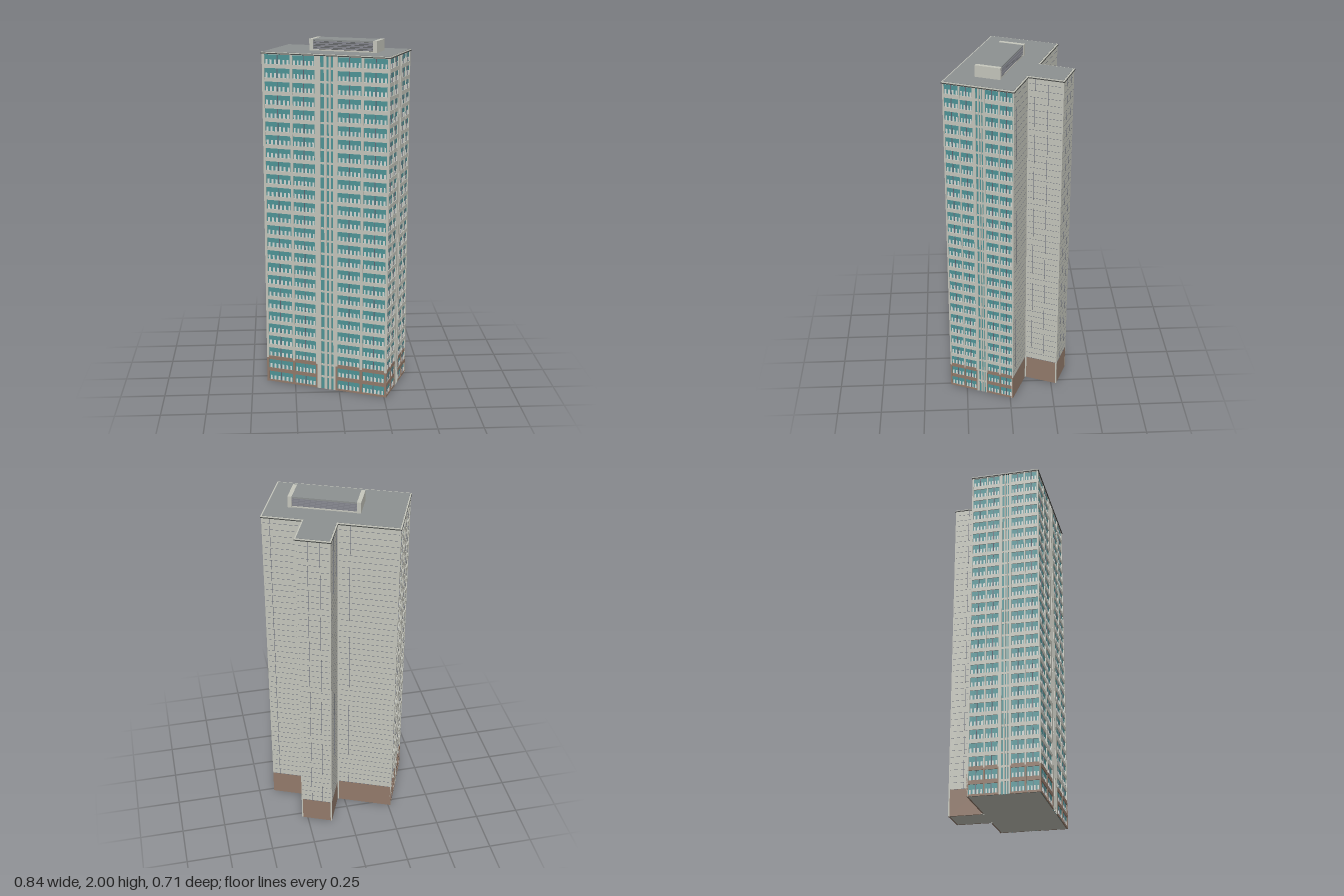
import * as THREE from 'three';
import { mergeGeometries } from 'three/addons/utils/BufferGeometryUtils.js';

const mat = (name, color) => {
  const m = new THREE.MeshStandardMaterial({ color });
  m.name = name;
  return m;
};

export function createModel() {
  const wall = mat('pale concrete', 0xc6c7bd);
  const brown = mat('brown cladding', 0x937b6b);
  const glass = mat('teal glass', 0x4f9598);
  const frame = mat('white frame', 0xd6dad6);
  const slate = mat('slate joint', 0x686c7a);
  const roofGrey = mat('roof grey', 0x8d9191);
  const dark = mat('dark trim', 0x4a4c4a);
  const louvre = mat('louvre grey', 0x84858d);

  const model = new THREE.Group();
  model.name = 'tower';
  const building = new THREE.Group();
  building.name = 'building';
  building.rotation.y = -Math.PI / 8;
  model.add(building);

  // Geometry is gathered by part name and merged into one mesh per part
  const bins = new Map();
  const add = (name, material, geo, matrix) => {
    if (matrix) geo.applyMatrix4(matrix);
    if (!bins.has(name)) bins.set(name, { material, list: [] });
    bins.get(name).list.push(geo);
  };
  // Box given by its limits
  const box = (name, material, x0, x1, y0, y1, z0, z1, matrix) =>
    add(name, material, new THREE.BoxGeometry(x1 - x0, y1 - y0, z1 - z0)
      .translate((x0 + x1) / 2, (y0 + y1) / 2, (z0 + z1) / 2), matrix);

  // Footprint corners (x, z), starting front left, running round the outside
  const plan = [
    [-0.358, 0.219], [0.374, 0.219], [0.374, -0.172], [0.154, -0.172],
    [0.154, -0.367], [-0.029, -0.367], [-0.029, -0.172], [-0.358, -0.172],
  ];
  const n = plan.length;
  const normal = (i) => {
    const a = plan[i % n], b = plan[(i + 1) % n];
    return [-Math.sign(b[1] - a[1]), Math.sign(b[0] - a[0])];
  };
  // Slab of the footprint, grown or shrunk by d
  const slab = (name, material, d, y0, y1) => {
    const pts = plan.map((p, i) => {
      const a = normal(i + n - 1), b = normal(i);
      return new THREE.Vector2(p[0] + d * (a[0] + b[0]), -(p[1] + d * (a[1] + b[1])));
    });
    const geo = new THREE.ExtrudeGeometry(new THREE.Shape(pts), { depth: y1 - y0, bevelEnabled: false });
    add(name, material, geo.rotateX(-Math.PI / 2).translate(0, y0, 0).toNonIndexed());
  };

  const FLOORS = 26, TOP = 1.926, H = 1.934 / FLOORS, BASE = 2 * H, T = 0.008;
  slab('core', wall, -T, 0, TOP);
  slab('eaves', dark, 0.004, TOP, 1.931);
  slab('parapet', wall, 0.003, 1.931, 1.935);
  slab('roof', roofGrey, -0.004, 1.935, 1.937);

  // Pier whose bottom two floors are brown
  const pier = (x0, x1, z1, m) => {
    box('basePiers', brown, x0, x1, 0, BASE, -T, z1, m);
    box('piers', wall, x0, x1, BASE, TOP, -T, z1, m);
  };

  // Glazed facade: two bays, a narrow-window centre, two bays
  const facade = (len, m, teeth) => {
    const X = (f) => (f - 0.5) * len;
    const bays = [[0.018, 0.222], [0.242, 0.418], [0.598, 0.782], [0.802, 0.982]];
    pier(X(0), X(0.018), 0, m);
    pier(X(0.222), X(0.242), 0, m);
    pier(X(0.418), X(0.432), 0, m);
    pier(X(0.584), X(0.598), 0, m);
    pier(X(0.782), X(0.802), 0, m);
    pier(X(0.982), X(1), 0, m);
    for (const [a, b] of bays) {
      const x0 = X(a), x1 = X(b), w = x1 - x0;
      box('windowGlass', glass, x0, x1, 0, TOP, -T, -0.006, m);
      box('mullions', slate, (x0 + x1) / 2 - 0.002, (x0 + x1) / 2 + 0.002, 0, TOP, -T, -0.003, m);
      for (let f = 0; f <= FLOORS; f++) {
        const y = f * H;
        const low = f <= 2;
        box(low ? 'baseBands' : 'floorBands', low ? brown : wall,
          x0, x1, Math.max(0, y - 0.011), Math.min(TOP, y + 0.011), -T, -0.001, m);
        if (f === FLOORS) break;
        // Short uprights in the lower half of each window
        for (let i = 0; i < teeth; i++) {
          const c = x0 + w * (i + 0.5) / teeth, h = w / teeth * 0.23;
          box('windowFrames', frame, c - h, c + h, y + 0.011, y + 0.036, -T, -0.004, m);
        }
      }
    }
    // Centre strips of narrow windows between pale piers
    const strips = [[0.462, 0.492], [0.512, 0.53], [0.546, 0.564]];
    let last = 0.432;
    for (const [a, b] of strips) {
      box('centrePiers', wall, X(last), X(a), 0, TOP, -T, 0, m);
      box('centreGlass', glass, X(a), X(b), 0, TOP, -T, -0.006, m);
      for (let f = 1; f < FLOORS; f++)
        box('centreBands', wall, X(a), X(b), f * H - 0.006, f * H + 0.006, -T, -0.004, m);
      last = b;
    }
    box('centrePiers', wall, X(last), X(0.584), 0, TOP, -T, 0, m);
  };

  // Plain wall: brown base between pale corners, fine panel joints
  const plainWall = (len, m, joints) => {
    const e = len / 2, c = 0.007;
    box('plainWalls', wall, -e, e, BASE, TOP, -T, 0, m);
    box('baseCladding', brown, -e + c, e - c, 0, BASE, -T, 0, m);
    box('cornerPosts', wall, -e, -e + c, 0, BASE, -T, 0, m);
    box('cornerPosts', wall, e - c, e, 0, BASE, -T, 0, m);
    for (let f = 4; f < FLOORS * 2; f++)
      box('panelJoints', slate, -e + c, e - c, f * H / 2, f * H / 2 + 0.0013, -T, 0.0006, m);
    for (const j of joints) {
      const x = (j - 0.5) * len;
      box('panelJoints', slate, x - 0.001, x + 0.001, BASE, TOP, -T, 0.0007, m);
    }
  };

  const joints = { 2: [0.2], 3: [0.2, 0.57], 4: [0.35, 0.7], 5: [0.43, 0.8], 6: [0.2] };
  plan.forEach((a, i) => {
    const b = plan[(i + 1) % n];
    const dx = b[0] - a[0], dz = b[1] - a[1], len = Math.hypot(dx, dz);
    const m = new THREE.Matrix4().makeRotationY(Math.atan2(-dz, dx))
      .setPosition((a[0] + b[0]) / 2, 0, (a[1] + b[1]) / 2);
    if (joints[i]) plainWall(len, m, joints[i]);
    else facade(len, m, i === 0 ? 6 : 4);
  });

  // Rooftop plant room: pale end walls, louvred long sides
  const [px0, px1, pz0, pz1, py] = [-0.131, 0.258, -0.057, 0.084, 1.936];
  box('plantEndWalls', wall, px0, px0 + 0.022, py, 2, pz0, pz1);
  box('plantEndWalls', wall, px1 - 0.022, px1, py, 2, pz0, pz1);
  box('plantCore', dark, px0 + 0.02, px1 - 0.02, py, 1.99, pz0 + 0.008, pz1 - 0.008);
  box('plantRoof', roofGrey, px0 + 0.022, px1 - 0.022, 1.99, 1.999, pz0 + 0.003, pz1 - 0.003);
  for (const [z0, z1] of [[pz0 + 0.003, pz0 + 0.009], [pz1 - 0.009, pz1 - 0.003]]) {
    box('plantSills', wall, px0 + 0.022, px1 - 0.022, py, 1.944, z0, z1);
    for (let i = 0; i < 5; i++)
      box('louvres', louvre, px0 + 0.022, px1 - 0.022, 1.946 + i * 0.009, 1.9525 + i * 0.009, z0, z1);
  }

  for (const [name, { material, list }] of bins) {
    const mesh = new THREE.Mesh(mergeGeometries(list), material);
    mesh.name = name;
    building.add(mesh);
  }
  return model;
}
